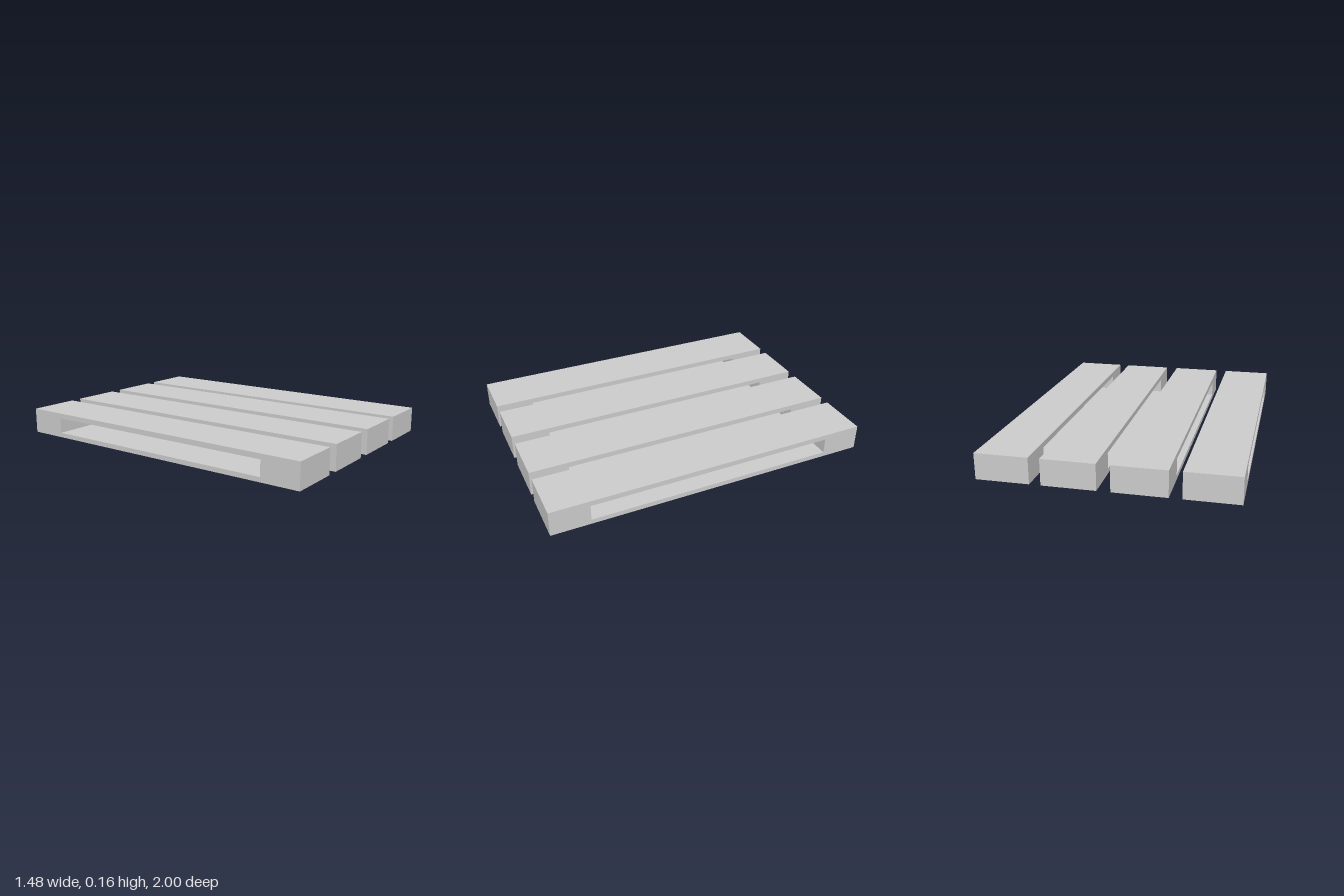
import * as THREE from 'three';

const WIDTH = 0.316, HEIGHT = 0.157;

// Rectangle outline in the side plane (length across, height up)
function rectangle(path, x0, y0, x1, y1) {
  path.moveTo(x0, y0);
  path.lineTo(x1, y0);
  path.lineTo(x1, y1);
  path.lineTo(x0, y1);
  path.closePath();
  return path;
}

export function createModel() {
  const model = new THREE.Group();
  model.name = 'slattedPlatform';
  const material = new THREE.MeshStandardMaterial({ color: 0xcccccc });

  // Side profile of one beam with its long slot, extruded across its width
  const profile = rectangle(new THREE.Shape(), -1, 0, 1, HEIGHT);
  profile.holes.push(rectangle(new THREE.Path(), -0.763, 0.029, 0.763, 0.125));
  const geometry = new THREE.ExtrudeGeometry(profile, { depth: WIDTH, bevelEnabled: false });
  geometry.translate(0, 0, -WIDTH / 2);
  geometry.rotateY(Math.PI / 2);

  // Four separate beams side by side
  [-0.583, -0.194, 0.2, 0.582].forEach((x, i) => {
    const beam = new THREE.Mesh(geometry, material);
    beam.name = `slottedBeam${i + 1}`;
    beam.position.x = x;
    model.add(beam);
  });

  return model;
}
